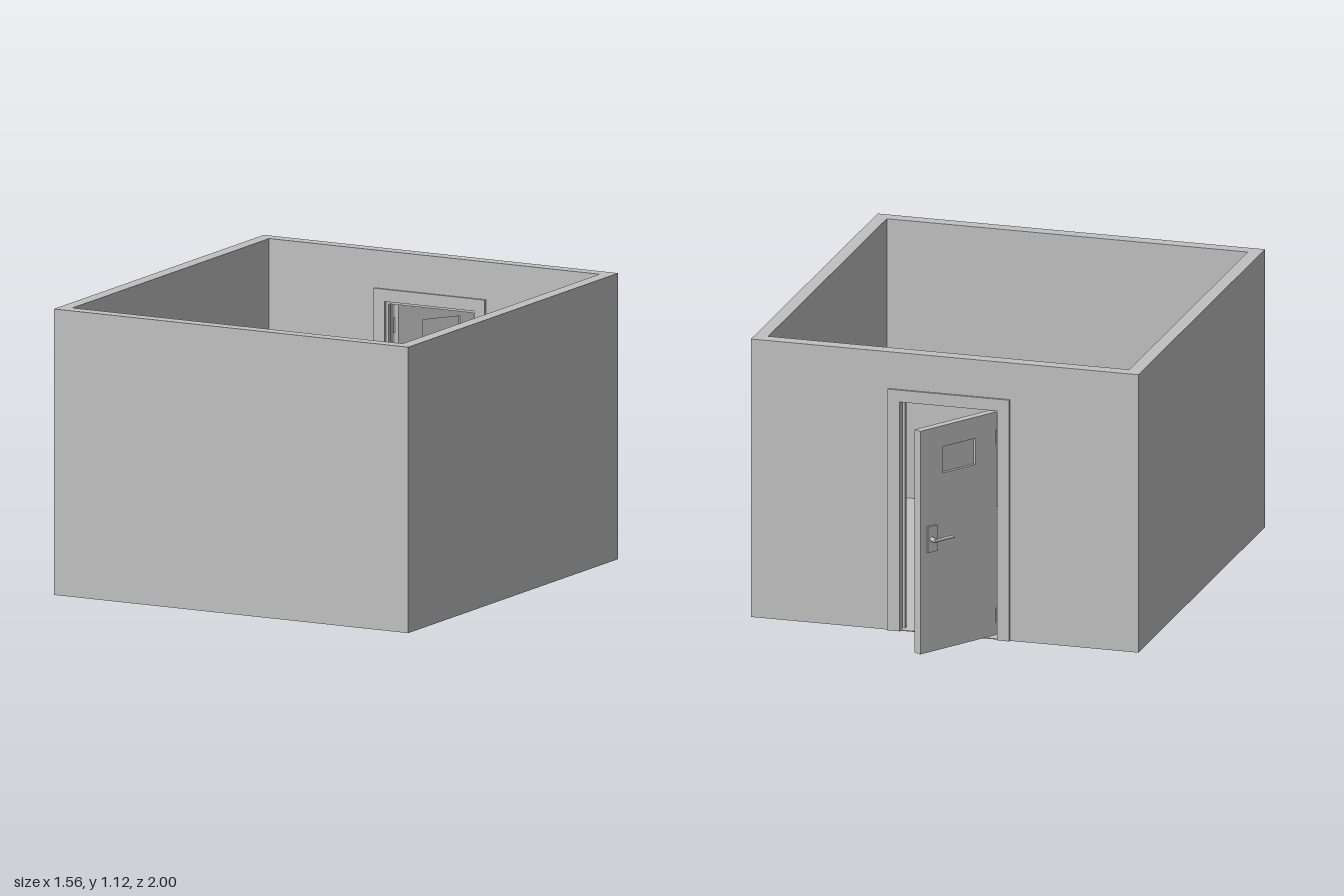
import * as THREE from 'three';

const grey = new THREE.MeshStandardMaterial({ color: 0xc0c0c0 });
grey.name = 'plain grey';

// Room
const HALF_W = 0.778, HEIGHT = 1.12, FRONT = 1.0, BACK = -0.667, WALL = 0.053;
// Door frame
const FRAME_L = -0.262, FRAME_R = 0.226, FRAME_TOP = 0.972, CASING = 0.048, LIP = 0.009;
// Door leaf
const LEAF_W = 0.384, LEAF_BOTTOM = 0.022, LEAF_TOP = 0.921, LEAF_T = 0.033;

function add(parent, name, geometry, x = 0, y = 0, z = 0) {
  const mesh = new THREE.Mesh(geometry, grey);
  mesh.name = name;
  mesh.position.set(x, y, z);
  parent.add(mesh);
  return mesh;
}

// Box given by its low and high corners
function block(parent, name, [x0, y0, z0], [x1, y1, z1]) {
  return add(parent, name, new THREE.BoxGeometry(x1 - x0, y1 - y0, z1 - z0),
    (x0 + x1) / 2, (y0 + y1) / 2, (z0 + z1) / 2);
}

function extrude(points, depth, hole) {
  const toVec = (p) => new THREE.Vector2(p[0], p[1]);
  const shape = new THREE.Shape(points.map(toVec));
  if (hole) shape.holes.push(new THREE.Path(hole.map(toVec)));
  return new THREE.ExtrudeGeometry(shape, { depth, bevelEnabled: false });
}

const rect = (x0, y0, x1, y1) => [[x0, y0], [x1, y0], [x1, y1], [x0, y1]];

// Upside-down U: outer edges x0, x1, top, with legs of width w
const arch = (x0, x1, top, w) => [
  [x0, 0], [x0 + w, 0], [x0 + w, top - w], [x1 - w, top - w],
  [x1 - w, 0], [x1, 0], [x1, top], [x0, top],
];

function buildRoom() {
  const room = new THREE.Group();
  room.name = 'room';
  const inX = HALF_W - WALL;
  block(room, 'floor', [-HALF_W, 0, BACK], [HALF_W, 0.003, FRONT]);
  block(room, 'frontWall', [-HALF_W, 0, FRONT - WALL], [HALF_W, HEIGHT, FRONT]);
  block(room, 'leftWall', [inX, 0, BACK + WALL], [HALF_W, HEIGHT, FRONT - WALL]);
  block(room, 'rightWall', [-HALF_W, 0, BACK + WALL], [-inX, HEIGHT, FRONT - WALL]);
  // Back wall with the doorway cut out
  const l = FRAME_L + CASING, r = FRAME_R - CASING, t = FRAME_TOP - CASING;
  add(room, 'backWall', extrude([
    [-HALF_W, 0], [l, 0], [l, t], [r, t], [r, 0], [HALF_W, 0], [HALF_W, HEIGHT], [-HALF_W, HEIGHT],
  ], WALL), 0, 0, BACK);
  return room;
}

function buildFrame() {
  const frame = new THREE.Group();
  frame.name = 'doorFrame';
  // Casings on both sides of the wall, with a thinner raised inner band
  const casing = extrude(arch(FRAME_L, FRAME_R, FRAME_TOP, CASING), LIP);
  add(frame, 'outerCasing', casing, 0, 0, BACK - LIP);
  add(frame, 'innerCasing', casing, 0, 0, BACK + WALL);
  // Stop that the closed leaf rests against
  const l = FRAME_L + CASING, r = FRAME_R - CASING, t = FRAME_TOP - CASING;
  add(frame, 'doorStop', extrude(arch(l, r, t, 0.01), 0.02), 0, 0, BACK + 0.03);
  return frame;
}

// Lever handle on one face of the leaf; side is +1 inside, -1 outside
function buildHandle(side) {
  const handle = new THREE.Group();
  handle.name = side > 0 ? 'innerHandle' : 'outerHandle';
  add(handle, 'plate', new THREE.BoxGeometry(0.046, 0.105, 0.008), 0, 0, side * 0.004);
  const neck = add(handle, 'neck', new THREE.CylinderGeometry(0.009, 0.009, 0.036, 16), 0.006, 0, side * 0.018);
  neck.rotation.x = Math.PI / 2;
  const lever = add(handle, 'lever', new THREE.CylinderGeometry(0.006, 0.006, 0.1, 16), -0.035, 0, side * 0.034);
  lever.rotation.z = Math.PI / 2;
  handle.position.set(0.328, 0.478, side > 0 ? LEAF_T : 0);
  return handle;
}

function buildDoor() {
  const door = new THREE.Group();
  door.name = 'door';
  // Leaf with a small window opening
  const win = [0.105, 0.73, 0.27, 0.836];
  add(door, 'leaf', extrude(rect(0, LEAF_BOTTOM, LEAF_W, LEAF_TOP), LEAF_T, rect(...win)));
  block(door, 'windowPane', [win[0], win[1], LEAF_T / 2 - 0.004], [win[2], win[3], LEAF_T / 2 + 0.004]);
  door.add(buildHandle(1), buildHandle(-1));
  // Hinge pins
  for (const y of [0.1, 0.82]) {
    add(door, 'hinge', new THREE.CylinderGeometry(0.005, 0.005, 0.06, 12), 0, y, 0.002);
  }
  // Swung open about its hinge edge
  door.position.set(FRAME_L + CASING + 0.004, 0, BACK - LIP);
  door.rotation.y = THREE.MathUtils.degToRad(57.5);
  return door;
}

export function createModel() {
  const model = new THREE.Group();
  model.name = 'roomWithOpenDoor';
  model.add(buildRoom(), buildFrame(), buildDoor());
  return model;
}
